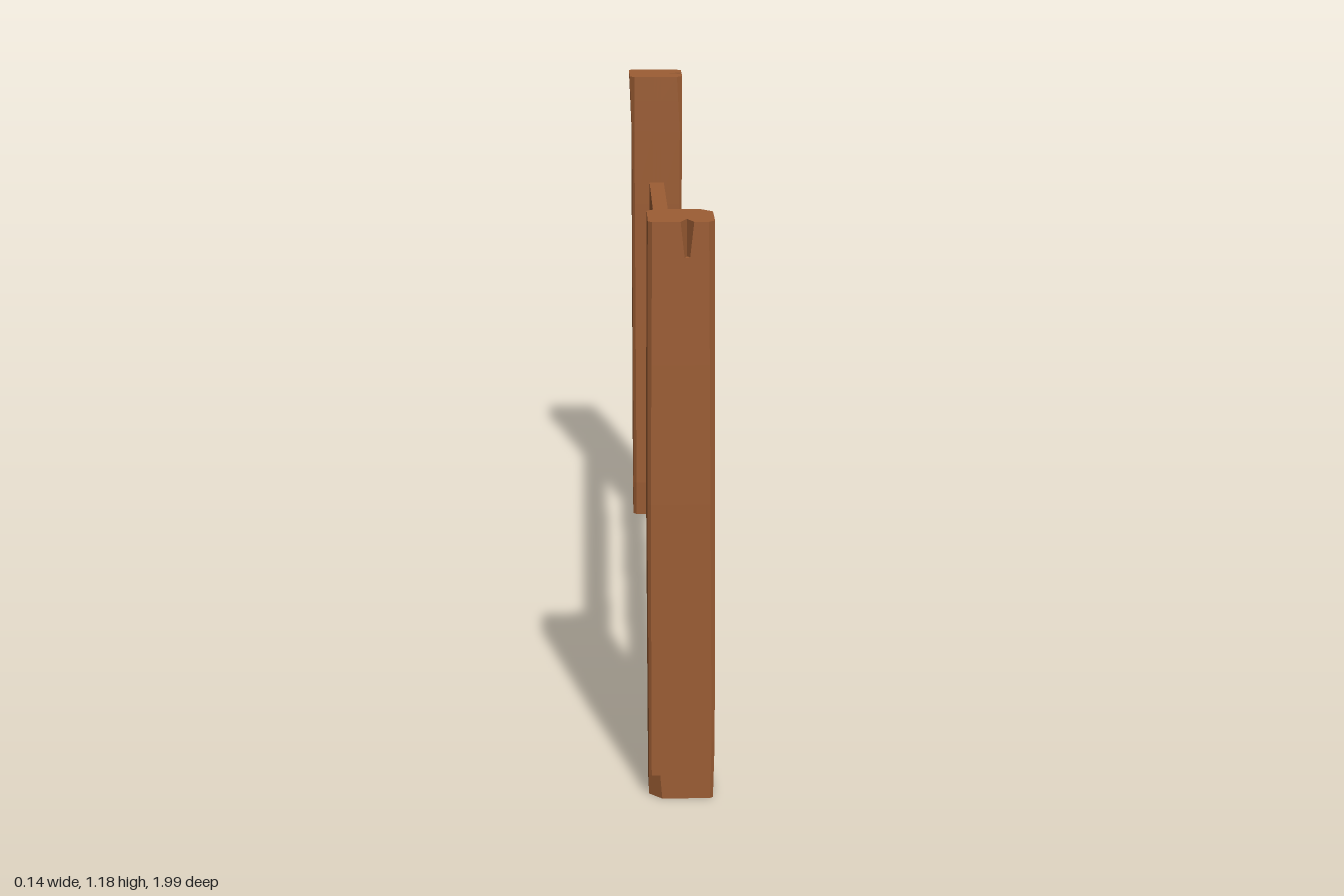
import * as THREE from 'three';

const wood = new THREE.MeshStandardMaterial({ color: 0x9c5d34, flatShading: true });
wood.name = 'brown wood';

// Linear interpolation through [y, value] keys
function keyed(keys, y) {
  if (y <= keys[0][0]) return keys[0][1];
  for (let i = 1; i < keys.length; i++) {
    const [y0, a] = keys[i - 1], [y1, b] = keys[i];
    if (y <= y1) return a + (b - a) * (y - y0) / (y1 - y0);
  }
  return keys[keys.length - 1][1];
}

// Faces run +x, -z, -x, +z; corner k lies between face k and face k + 1
const normals = [[1, 0], [0, -1], [-1, 0], [0, 1]];

// Square post lofted from rings, with worn corners and split ends
function makePost(name, z, spec) {
  const pos = [], index = [];
  const count = 20;
  for (const y of spec.rings) {
    const chamfer = spec.corners.map((k) => keyed(k, y));
    normals.forEach(([nx, nz], f) => {
      const half = keyed(spec.halves[f], y);
      const before = keyed(spec.halves[(f + 3) % 4], y);
      const after = keyed(spec.halves[(f + 1) % 4], y);
      const split = spec.splits.find((s) => s.face === f);
      let at = 0, width = 0.02, depth = 0;
      if (split) {
        const s = THREE.MathUtils.clamp((y - split.inner) / (split.end - split.inner), 0, 1);
        at = split.at;
        width = split.width * (0.4 + 0.6 * s);
        depth = s > 0 ? split.depth * (0.4 + 0.6 * s) : 0;
      }
      const points = [
        [-before + chamfer[(f + 3) % 4], half],
        [at - width / 2, half],
        [at, half - depth],
        [at + width / 2, half],
        [after - chamfer[f], half],
      ];
      for (const [t, n] of points) pos.push(nx * n + nz * t, y, nz * n - nx * t);
    });
  }
  const last = spec.rings.length - 1;
  for (let i = 0; i < last; i++) {
    for (let j = 0; j < count; j++) {
      const a = i * count + j, b = i * count + (j + 1) % count;
      index.push(a, b, b + count, a, b + count, a + count);
    }
  }
  // End caps
  const bottom = pos.length / 3, top = bottom + 1;
  pos.push(0, spec.rings[0], 0, 0, spec.rings[last], 0);
  for (let j = 0; j < count; j++) {
    const k = (j + 1) % count;
    index.push(bottom, k, j, top, last * count + j, last * count + k);
  }
  const indexed = new THREE.BufferGeometry();
  indexed.setAttribute('position', new THREE.Float32BufferAttribute(pos, 3));
  indexed.setIndex(index);
  const geometry = indexed.toNonIndexed();
  geometry.computeVertexNormals();
  const mesh = new THREE.Mesh(geometry, wood);
  mesh.name = name;
  mesh.position.z = z;
  return mesh;
}

// Plank half: a side outline with nicks cut from its top edge, given as [z, y] points
function makePlank(name, x0, x1, y0, y1, nicks) {
  const outline = [[0.87, y0], [0, y0 - 0.002], [-0.88, y0], [-0.88, y1 + 0.001], ...nicks, [0.87, y1]];
  const shape = new THREE.Shape(outline.map(([z, y]) => new THREE.Vector2(-z, y)));
  const geometry = new THREE.ExtrudeGeometry(shape, { depth: x1 - x0, bevelEnabled: false });
  geometry.rotateY(Math.PI / 2);
  geometry.translate(x0, 0, 0);
  const mesh = new THREE.Mesh(geometry, wood);
  mesh.name = name;
  return mesh;
}

export function createModel() {
  const model = new THREE.Group();
  model.name = 'fence';

  model.add(makePost('frontPost', 0.926, {
    rings: [0, 0.05, 0.051, 0.12, 0.35, 0.62, 0.9, 1.05, 1.11, 1.111, 1.15, 1.18],
    halves: [
      [[0, 0.064], [0.12, 0.067], [0.62, 0.065], [1.18, 0.063]],
      [[0, 0.063], [0.12, 0.067], [1.05, 0.066], [1.18, 0.063]],
      [[0, 0.064], [0.6, 0.067], [1.18, 0.065]],
      [[0, 0.065], [0.6, 0.069], [1.18, 0.064]],
    ],
    corners: [
      [[0, 0.014], [0.12, 0.006], [1.05, 0.006], [1.18, 0.026]],
      [[0, 0.006], [1.05, 0.006], [1.18, 0.018]],
      [[0, 0.026], [0.05, 0.022], [0.051, 0.005], [1.18, 0.008]],
      [[0, 0.006], [0.62, 0.009], [1.18, 0.012]],
    ],
    splits: [{ face: 3, at: 0.01, width: 0.026, depth: 0.03, inner: 1.11, end: 1.18 }],
  }));

  model.add(makePost('backPost', -0.932, {
    rings: [0, 0.089, 0.09, 0.3, 0.5, 0.501, 0.57, 0.7, 0.85, 1.04, 1.041, 1.12, 1.183],
    halves: [
      [[0, 0.065], [0.3, 0.067], [0.62, 0.063], [1.183, 0.065]],
      [[0, 0.066], [1.183, 0.068]],
      [[0, 0.064], [1.04, 0.065], [1.183, 0.071]],
      [[0, 0.06], [0.09, 0.065], [0.7, 0.062], [1.04, 0.066], [1.183, 0.066]],
    ],
    corners: [
      [[0, 0.005], [0.5, 0.006], [0.501, 0.038], [0.57, 0.028], [0.85, 0.008], [1.04, 0.006], [1.183, 0.014]],
      [[0, 0.006], [1.183, 0.006]],
      [[0, 0.008], [1.04, 0.006], [1.183, 0.012]],
      [[0, 0.012], [0.3, 0.005], [1.04, 0.006], [1.183, 0.014]],
    ],
    splits: [
      { face: 0, at: 0, width: 0.034, depth: 0.032, inner: 1.04, end: 1.183 },
      { face: 2, at: 0, width: 0.03, depth: 0.028, inner: 0.09, end: 0 },
    ],
  }));

  // Rails: two halves each, so a nick can be cut into one side only
  const upperNick = [[0.69, 0.906], [0.7, 0.888], [0.715, 0.906]];
  const upper = new THREE.Group();
  upper.name = 'upperRail';
  upper.add(
    makePlank('outerHalf', 0, 0.017, 0.78, 0.906, upperNick),
    makePlank('innerHalf', -0.02, 0, 0.78, 0.906, upperNick),
  );

  const lower = new THREE.Group();
  lower.name = 'lowerRail';
  lower.add(
    makePlank('outerHalf', 0, 0.017, 0.257, 0.379, [[-0.78, 0.379], [-0.778, 0.3], [-0.73, 0.379]]),
    makePlank('innerHalf', -0.02, 0, 0.257, 0.379, [[0.365, 0.379], [0.375, 0.29], [0.4, 0.379]]),
  );

  model.add(upper, lower);
  return model;
}
